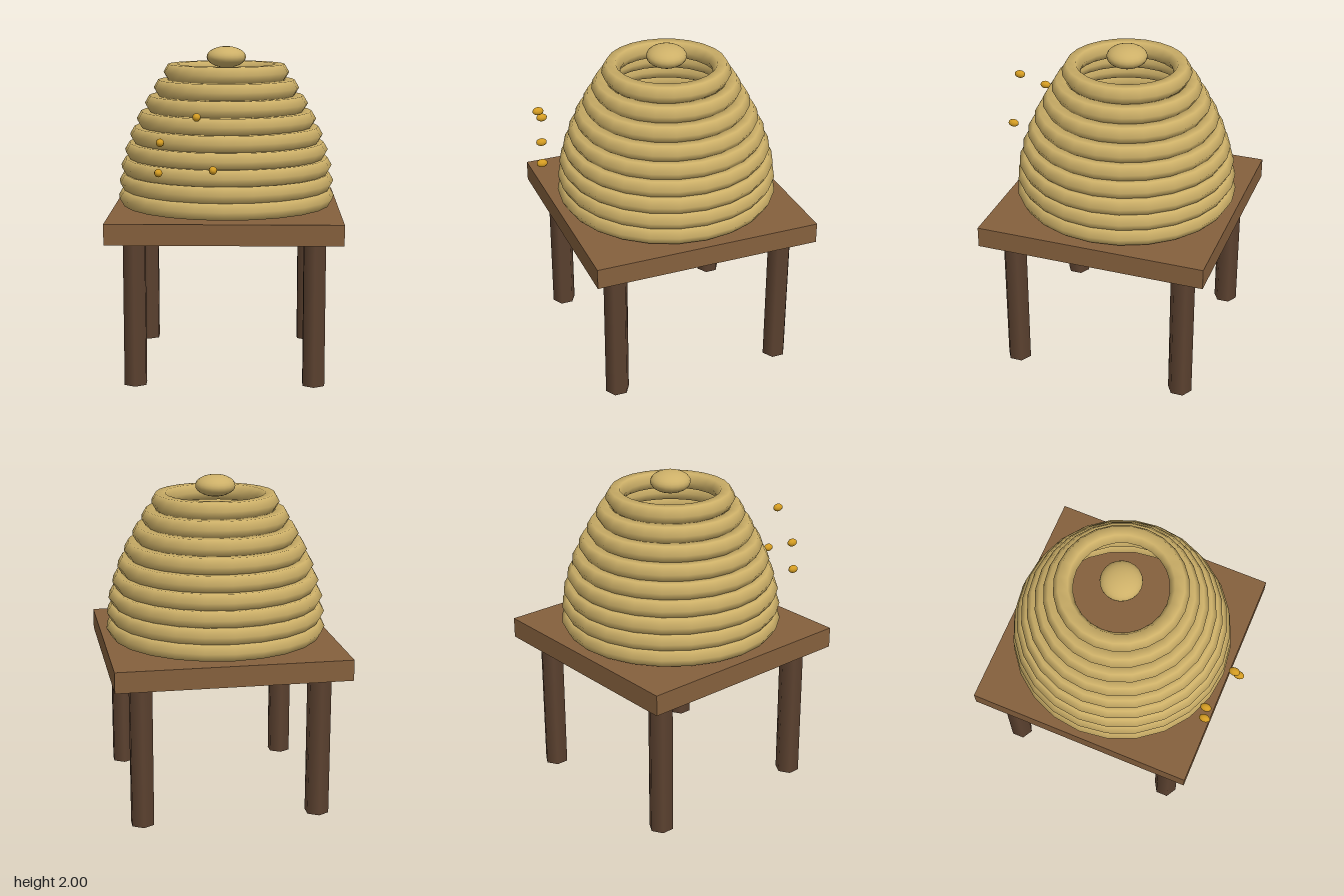
import * as THREE from 'three';

const mat = (name, color) => {
  const m = new THREE.MeshStandardMaterial({ color });
  m.name = name;
  return m;
};

export function createModel() {
  const model = new THREE.Group();
  model.name = 'beehiveOnStand';
  const straw = mat('straw', 0xcdb068);
  const plank = mat('plankWood', 0x85603d);
  const darkWood = mat('darkWood', 0x5c4230);
  const amber = mat('amber', 0xd49c22);
  const cz = -0.055; // centre of the stand and hive

  const add = (name, geometry, material, x, y, z, parent = model) => {
    const mesh = new THREE.Mesh(geometry, material);
    mesh.name = name;
    mesh.position.set(x, y, z);
    parent.add(mesh);
    return mesh;
  };

  // Stand: square top on four six-sided legs
  add('standTop', new THREE.BoxGeometry(1.4, 0.126, 1.4), plank, 0, 0.943, cz);
  const legGeometry = new THREE.CylinderGeometry(0.075, 0.075, 0.885, 6);
  for (const sx of [-1, 1]) {
    for (const sz of [-1, 1]) {
      const name = (sz > 0 ? 'front' : 'back') + (sx > 0 ? 'Left' : 'Right') + 'Leg';
      add(name, legGeometry, darkWood, sx * 0.535, 0.4425, cz + sz * 0.535);
    }
  }

  // Hive: stacked straw coils, open at the top
  const hive = new THREE.Group();
  hive.name = 'hive';
  model.add(hive);
  const tube = 0.057;
  const outerRadii = [0.677, 0.672, 0.66, 0.635, 0.602, 0.56, 0.508, 0.452, 0.39];
  outerRadii.forEach((radius, i) => {
    const coil = new THREE.TorusGeometry(radius - tube, tube, 6, 24).rotateX(-Math.PI / 2);
    add('coil' + (i + 1), coil, straw, 0, 1.07 + i * 0.0965, cz, hive);
  });

  // Flattened knob in the top opening
  const knob = new THREE.SphereGeometry(0.122, 20, 14).scale(1, 0.54, 1);
  add('topKnob', knob, straw, 0, 1.934, cz, hive);

  // Bees hovering in front
  const beeGeometry = new THREE.SphereGeometry(0.024, 12, 8).scale(1, 1, 1.42);
  const bees = [
    [-0.378, 1.305, 0.631],
    [-0.367, 1.48, 0.625],
    [-0.153, 1.635, 0.707],
    [-0.06, 1.334, 0.723],
  ];
  bees.forEach((p, i) => add('bee' + (i + 1), beeGeometry, amber, ...p));

  return model;
}
